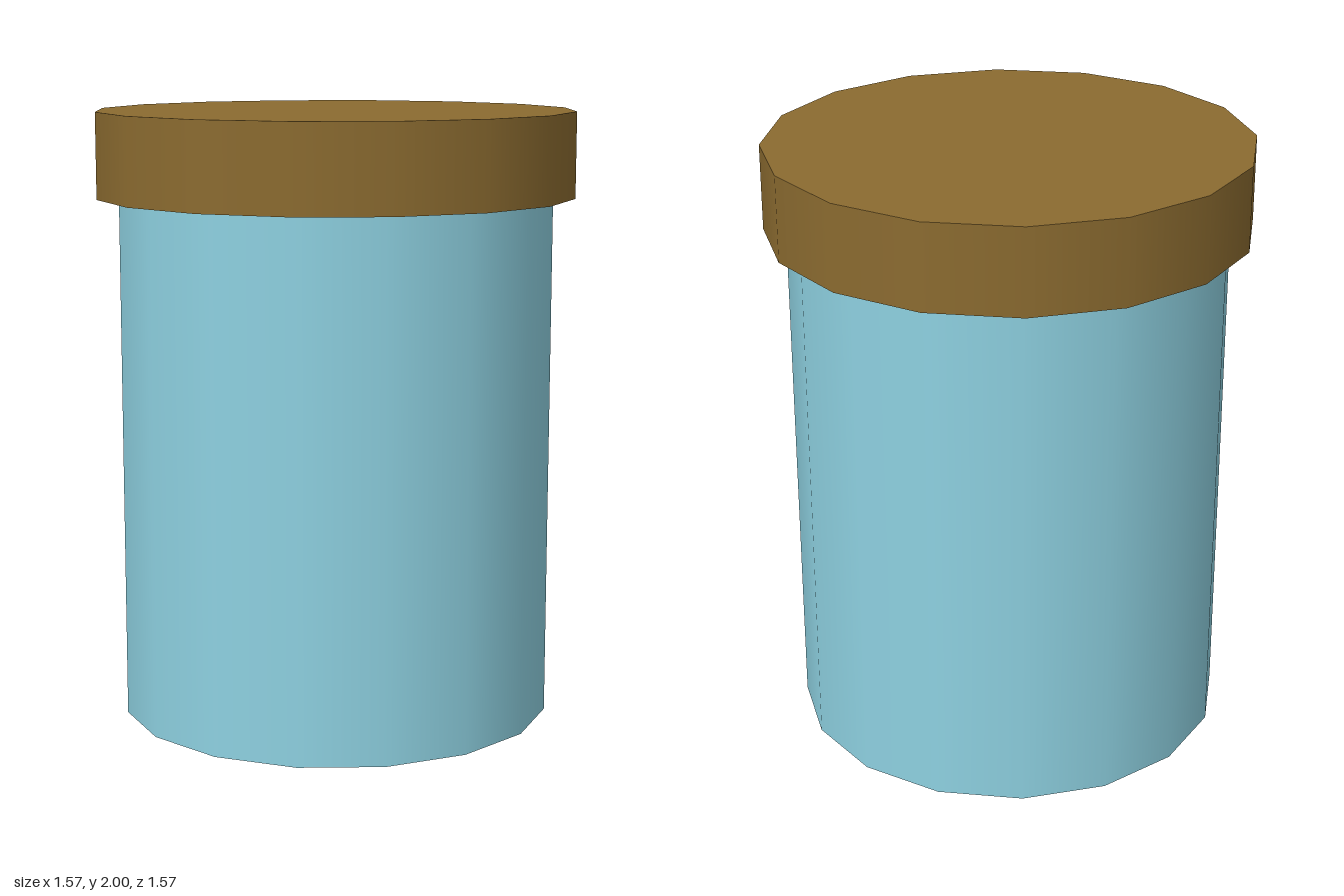
import * as THREE from 'three';

const SIDES = 16;

// Closed upright cylinder from y = bottom to y = top
function drum(name, radius, bottom, top, color) {
  const geometry = new THREE.CylinderGeometry(radius, radius, top - bottom, SIDES);
  geometry.translate(0, (bottom + top) / 2, 0);
  const mesh = new THREE.Mesh(geometry, new THREE.MeshStandardMaterial({ color }));
  mesh.name = name;
  return mesh;
}

export function createModel() {
  const group = new THREE.Group();
  group.name = 'jar';
  // Pale blue body, running up to the underside of the lid
  group.add(drum('body', 0.714, 0, 1.72, 0x8ed1e1));
  // Wider brown lid
  group.add(drum('lid', 0.786, 1.72, 2, 0x8b6b30));
  return group;
}
